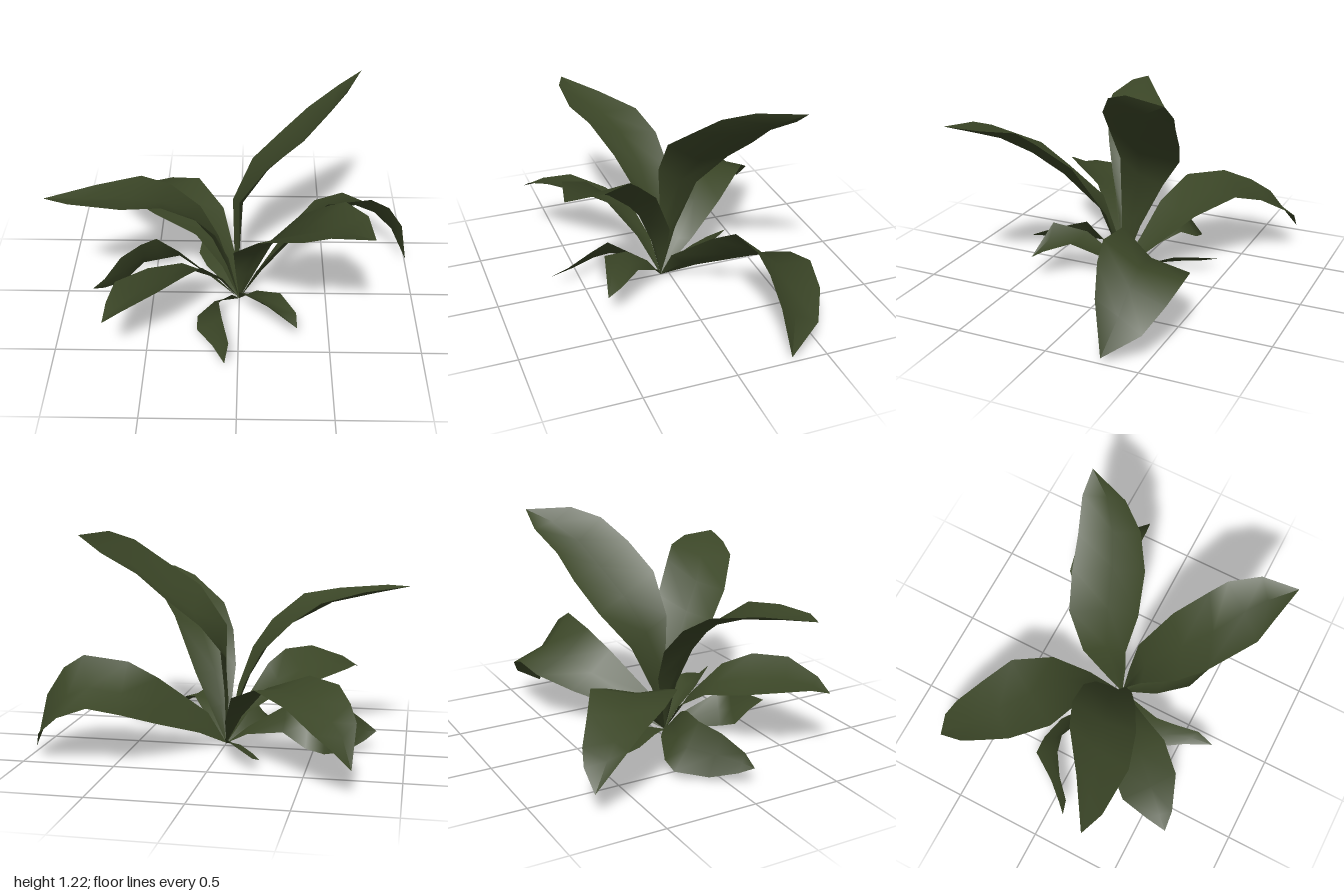
import * as THREE from 'three';

const leafGreen = new THREE.MeshStandardMaterial({ color: 0x3b4627, side: THREE.DoubleSide });
leafGreen.name = 'leaf green';

// A leaf blade from cross-sections: each row is the left edge point and the right
// edge point (seen looking outward); the midrib sinks by a share of the width.
function leaf(name, rows, tip, fold, base = [0, 0.02, 0.05]) {
  const start = new THREE.Vector3(...base), end = new THREE.Vector3(...tip);
  const sections = rows.map((r) => [new THREE.Vector3(r[0], r[1], r[2]), new THREE.Vector3(r[3], r[4], r[5])]);
  const centres = [start, ...sections.map(([l, r]) => l.clone().add(r).multiplyScalar(0.5)), end];
  const points = [start, start, start];
  sections.forEach(([l, r], i) => {
    const across = r.clone().sub(l);
    const along = centres[i + 2].clone().sub(centres[i]);
    const up = across.clone().cross(along).normalize();
    points.push(l, centres[i + 1].clone().addScaledVector(up, -fold * across.length()), r);
  });
  points.push(end, end, end);

  const index = [];
  const last = rows.length;
  for (let i = 0; i <= last; i++) {
    for (let j = 0; j < 2; j++) {
      const a = i * 3 + j, b = a + 1, c = a + 3, d = a + 4;
      if (i > 0) index.push(a, b, c);
      if (i < last) index.push(b, d, c);
    }
  }
  const geometry = new THREE.BufferGeometry().setFromPoints(points);
  geometry.setIndex(index);
  geometry.computeVertexNormals();
  const mesh = new THREE.Mesh(geometry, leafGreen);
  mesh.name = name;
  return mesh;
}

export function createModel() {
  const plant = new THREE.Group();
  plant.name = 'leafy plant';

  // Large upright leaves
  plant.add(leaf('tallLeaf', [
    [-0.03, 0.3, -0.05, 0.0, 0.35, 0.05],
    [-0.04, 0.56, -0.18, 0.0, 0.7, 0.06],
    [0.07, 0.75, -0.32, 0.15, 0.92, 0.06],
    [0.24, 0.9, -0.385, 0.34, 1.06, 0.0],
    [0.38, 1.03, -0.42, 0.48, 1.18, -0.1],
    [0.55, 1.14, -0.48, 0.58, 1.235, -0.24],
  ], [0.67, 1.23, -0.48], 0.14));

  plant.add(leaf('frontLeftTallLeaf', [
    [0.09, 0.22, 0.05, -0.02, 0.25, 0.1],
    [0.18, 0.42, 0.06, -0.03, 0.45, 0.18],
    [0.33, 0.72, 0.19, 0.02, 0.62, 0.37],
    [0.47, 0.88, 0.33, 0.1, 0.76, 0.5],
    [0.54, 0.95, 0.4, 0.32, 0.9, 0.68],
    [0.64, 0.97, 0.55, 0.45, 0.95, 0.71],
  ], [0.66, 0.975, 0.755], 0.14));

  plant.add(leaf('rightTallLeaf', [
    [-0.06, 0.35, 0.1, -0.05, 0.2, 0.0],
    [-0.13, 0.56, 0.17, -0.12, 0.39, -0.06],
    [-0.23, 0.71, 0.24, -0.22, 0.58, -0.08],
    [-0.4, 0.85, 0.33, -0.38, 0.74, -0.06],
    [-0.6, 0.88, 0.39, -0.53, 0.84, 0.01],
    [-0.87, 0.905, 0.38, -0.75, 0.885, 0.17],
  ], [-1.0, 0.905, 0.33], 0.1));

  // Large arching leaves
  plant.add(leaf('leftArchingLeaf', [
    [0.12, 0.12, -0.12, 0.1, 0.2, 0.02],
    [0.3, 0.23, -0.38, 0.35, 0.42, -0.12],
    [0.45, 0.31, -0.54, 0.5, 0.52, -0.19],
    [0.62, 0.345, -0.575, 0.75, 0.55, -0.2],
    [0.79, 0.28, -0.55, 0.86, 0.48, -0.22],
    [0.92, 0.17, -0.48, 0.95, 0.33, -0.25],
  ], [1.0, 0.05, -0.3], 0.12));

  plant.add(leaf('backArchingLeaf', [
    [-0.1, 0.2, -0.02, -0.03, 0.2, -0.15],
    [-0.25, 0.38, -0.08, -0.1, 0.38, -0.35],
    [-0.49, 0.475, -0.15, -0.25, 0.47, -0.53],
    [-0.66, 0.47, -0.32, -0.42, 0.41, -0.63],
    [-0.73, 0.41, -0.47, -0.57, 0.31, -0.73],
    [-0.77, 0.34, -0.58, -0.66, 0.25, -0.765],
  ], [-0.76, 0.15, -0.755], 0.07));

  plant.add(leaf('frontArchingLeaf', [
    [-0.09, 0.25, 0.16, -0.12, 0.2, 0.07],
    [-0.2, 0.44, 0.3, -0.32, 0.33, 0.12],
    [-0.28, 0.5, 0.45, -0.5, 0.37, 0.22],
    [-0.42, 0.5, 0.59, -0.66, 0.41, 0.39],
    [-0.6, 0.43, 0.66, -0.69, 0.4, 0.55],
  ], [-0.7, 0.365, 0.67], 0.1));

  // Small low leaves
  plant.add(leaf('rightLowLeaf', [
    [-0.13, 0.13, 0.03, -0.13, 0.1, -0.03],
    [-0.35, 0.28, -0.05, -0.35, 0.16, -0.17],
    [-0.48, 0.34, -0.09, -0.48, 0.09, -0.22],
    [-0.57, 0.31, -0.07, -0.58, 0.065, -0.22],
    [-0.68, 0.27, 0.0, -0.68, 0.04, -0.07],
    [-0.77, 0.18, 0.085, -0.78, 0.08, 0.04],
  ], [-0.84, 0.12, 0.1], 0.06));

  plant.add(leaf('frontLowLeaf', [
    [-0.04, 0.12, 0.14, -0.14, 0.07, 0.14],
    [-0.11, 0.23, 0.33, -0.23, 0.08, 0.28],
    [-0.09, 0.2, 0.43, -0.23, 0.07, 0.38],
    [-0.05, 0.15, 0.58, -0.14, 0.09, 0.53],
  ], [-0.07, 0.1, 0.68], 0.05));

  plant.add(leaf('frontLeftLowLeaf', [
    [0.1, 0.12, 0.1, 0.0, 0.13, 0.13],
    [0.23, 0.235, 0.26, 0.02, 0.23, 0.26],
    [0.315, 0.2, 0.385, 0.13, 0.3, 0.42],
  ], [0.32, 0.155, 0.46], 0.12));

  plant.add(leaf('backLowLeaf', [
    [-0.1, 0.05, -0.07, -0.02, 0.08, -0.1],
    [-0.2, 0.045, -0.22, -0.05, 0.13, -0.24],
    [-0.25, 0.05, -0.34, -0.1, 0.13, -0.34],
  ], [-0.23, 0.09, -0.45], 0.03));

  return plant;
}
